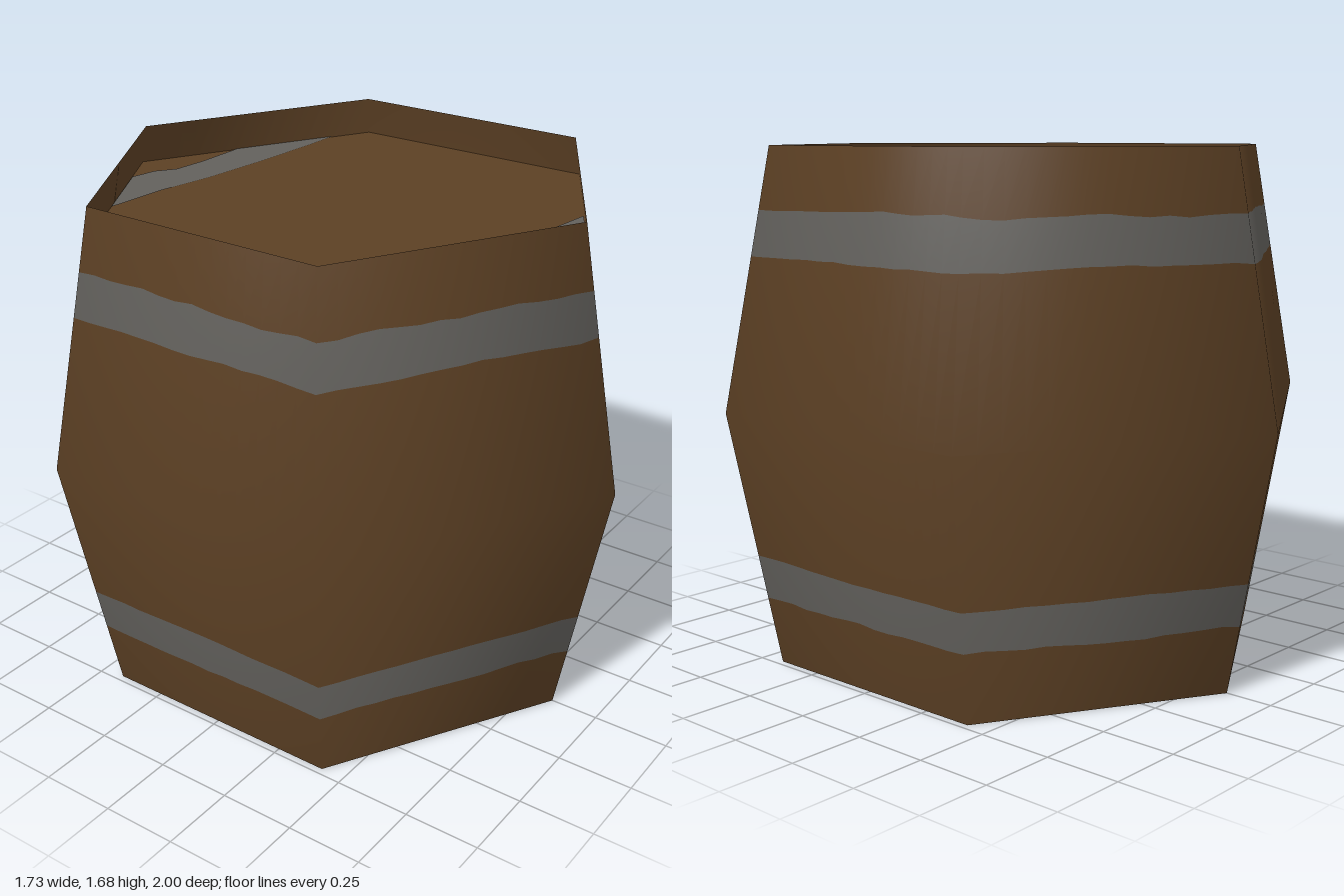
import * as THREE from 'three';

const HEIGHT = 1.68, MID = HEIGHT / 2, R_END = 0.84, R_MID = 1;
const SIDES = 6, PER_SIDE = 14, COLS = SIDES * PER_SIDE;
const LID_Y = 1.55;

const radiusAt = (y) => R_MID - (R_MID - R_END) * Math.abs(y - MID) / MID;

// Seeded random numbers for the worn hoop edges
let seed = 7;
const rand = () => (seed = (seed * 16807) % 2147483647) / 2147483647;

// Height of a ring at every column around the barrel
const level = (y) => new Array(COLS + 1).fill(y);
function ragged(y, amp) {
  const ring = [];
  let drift = 0;
  for (let i = 0; i < COLS; i++) {
    drift = drift * 0.75 + (rand() - 0.5) * amp;
    ring.push(y + drift);
  }
  ring.push(ring[0]);
  return ring;
}

// Hexagonal wall between successive rings, with softly rounded normals
function wall(rings) {
  const pos = [], nor = [], idx = [];
  for (const ring of rings) {
    for (let c = 0; c <= COLS; c++) {
      const side = Math.min(Math.floor(c / PER_SIDE), SIDES - 1);
      const t = c / PER_SIDE - side;
      const a = side * Math.PI / 3, b = a + Math.PI / 3;
      const x = Math.sin(a) * (1 - t) + Math.sin(b) * t;
      const z = Math.cos(a) * (1 - t) + Math.cos(b) * t;
      const y = ring[c], r = radiusAt(y);
      pos.push(x * r, y, z * r);
      const n = new THREE.Vector3(x, 0.19 * (y - MID) / MID, z).normalize();
      nor.push(n.x, n.y, n.z);
    }
  }
  const w = COLS + 1;
  for (let j = 0; j < rings.length - 1; j++) {
    for (let c = 0; c < COLS; c++) {
      const k = j * w + c;
      idx.push(k, k + 1, k + w + 1, k, k + w + 1, k + w);
    }
  }
  const g = new THREE.BufferGeometry();
  g.setAttribute('position', new THREE.Float32BufferAttribute(pos, 3));
  g.setAttribute('normal', new THREE.Float32BufferAttribute(nor, 3));
  g.setIndex(idx);
  return g;
}

// Flat horizontal face from [x, z] points
function plate(points, y) {
  const shape = new THREE.Shape(points.map(([x, z]) => new THREE.Vector2(x, -z)));
  return new THREE.ShapeGeometry(shape).rotateX(-Math.PI / 2).translate(0, y, 0);
}

export function createModel() {
  const model = new THREE.Group();
  model.name = 'barrel';
  const wood = new THREE.MeshStandardMaterial({ name: 'brown wood', color: 0x5c4024, side: THREE.DoubleSide });
  const iron = new THREE.MeshStandardMaterial({ name: 'grey iron', color: 0x62605c, side: THREE.DoubleSide });
  const add = (name, geometry, material) => {
    const mesh = new THREE.Mesh(geometry, material);
    mesh.name = name;
    model.add(mesh);
  };

  // Staves and hoops share their worn edges, open at the bottom
  const lowA = ragged(0.222, 0.012), lowB = ragged(0.362, 0.005);
  const highA = ragged(1.336, 0.008), highB = ragged(1.478, 0.013);
  add('lowerStaves', wall([level(0), lowA]), wood);
  add('lowerHoop', wall([lowA, lowB]), iron);
  add('middleStaves', wall([lowB, level(MID), highA]), wood);
  add('upperHoop', wall([highA, highB]), iron);
  add('upperStaves', wall([highB, level(HEIGHT)]), wood);

  // Recessed lid
  const r = radiusAt(LID_Y);
  const hexagon = [];
  for (let i = 0; i < SIDES; i++) {
    const a = i * Math.PI / 3;
    hexagon.push([r * Math.sin(a), r * Math.cos(a)]);
  }
  add('lid', plate(hexagon, LID_Y), wood);

  // Worn iron strips across the lid
  add('backLidStrip', plate([
    [-0.42, -0.62], [-0.15, -0.775], [-0.06, -0.755], [0, -0.71], [0.12, -0.695], [0.3, -0.69],
    [0.62, -0.505], [0.5, -0.51], [0.25, -0.53], [0, -0.56], [-0.2, -0.6],
  ], LID_Y + 0.003), iron);
  add('frontLidStrip', plate([
    [-0.52, 0.56], [-0.4, 0.53], [-0.2, 0.56], [0, 0.585], [0.05, 0.61], [0.2, 0.62],
    [0.37, 0.645], [0.15, 0.775], [0.05, 0.75], [-0.1, 0.755], [-0.16, 0.77],
  ], LID_Y + 0.003), iron);

  return model;
}
